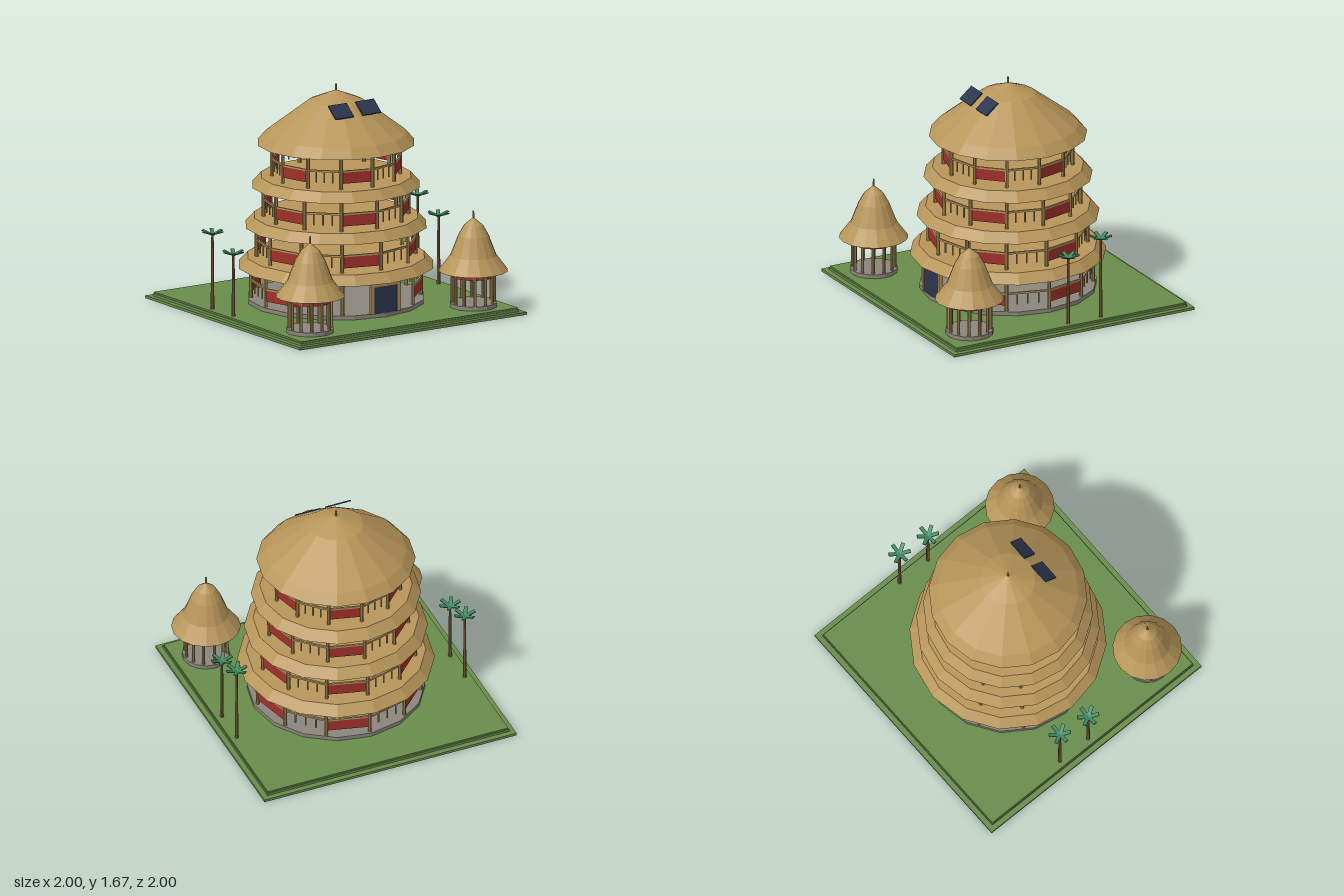
import * as THREE from 'three';

const mat = (name, color) => {
  const m = new THREE.MeshStandardMaterial({ color });
  m.name = name;
  return m;
};

// Split all faces so that every facet gets its own flat normal
const flat = (g) => {
  const f = g.index ? g.toNonIndexed() : g;
  f.computeVertexNormals();
  return f;
};

export function createModel() {
  const thatch = mat('thatch', 0xb8965a);
  const bamboo = mat('bamboo', 0xb0915a);
  const red = mat('red panel', 0xa0302a);
  const grass = mat('grass', 0x688c4b);
  const stone = mat('stone', 0x8a867c);
  const navy = mat('navy', 0x2b364f);
  const bark = mat('bark', 0x8a6a45);
  const frond = mat('palm green', 0x3f8a62);

  const model = new THREE.Group();
  model.name = 'roundTower';

  const add = (parent, name, geo, material, x = 0, y = 0, z = 0) => {
    const m = new THREE.Mesh(geo, material);
    m.name = name;
    m.position.set(x, y, z);
    parent.add(m);
    return m;
  };
  const group = (parent, name) => {
    const g = new THREE.Group();
    g.name = name;
    parent.add(g);
    return g;
  };
  const box = (p, name, w, h, d, material, x, y, z) =>
    add(p, name, new THREE.BoxGeometry(w, h, d), material, x, y, z);
  // Upright cylinder from y0 to y1
  const column = (p, name, rTop, rBottom, y0, y1, sides, material, x = 0, z = 0) =>
    add(p, name, flat(new THREE.CylinderGeometry(rTop, rBottom, y1 - y0, sides)),
      material, x, (y0 + y1) / 2, z);
  const lathe = (p, name, points, sides, material) =>
    add(p, name, flat(new THREE.LatheGeometry(points.map(([r, y]) => new THREE.Vector2(r, y)), sides)), material);

  // Stepped lawn
  box(model, 'groundBase', 2, 0.02, 2, grass, 0, 0.01, 0);
  box(model, 'groundStep', 1.92, 0.018, 1.92, grass, 0, 0.029, 0);
  box(model, 'lawn', 1.908, 0.012, 1.908, grass, 0, 0.044, 0);

  // Tower
  const tower = group(model, 'tower');
  column(tower, 'plinth', 0.65, 0.65, 0.05, 0.08, 16, stone);

  const BAYS = 12;
  const storeys = [
    { r: 0.62, y0: 0.08, y1: 0.33, panel: 0.163 },
    { r: 0.58, y0: 0.38, y1: 0.63, panel: 0.463 },
    { r: 0.53, y0: 0.68, y1: 0.93, panel: 0.765 },
    { r: 0.47, y0: 0.985, y1: 1.235, panel: 1.07 },
  ];
  storeys.forEach(({ r, y0, y1, panel }, level) => {
    const storey = group(tower, 'storey' + (level + 1));
    const chord = 2 * r * Math.sin(Math.PI / BAYS);
    const apothem = r * Math.cos(Math.PI / BAYS);
    for (let k = 0; k < BAYS; k++) {
      const entrance = level === 0 && (k === 0 || k === BAYS - 1);
      const a = (k * 2 * Math.PI) / BAYS;
      if (level > 0 || k > 0) {
        column(storey, 'post', 0.014, 0.014, y0, y1, 8, bamboo, r * Math.sin(a), r * Math.cos(a));
      }
      if (entrance) continue;
      // Each bay has a hand rail with a red panel or three balusters below it
      const bay = group(storey, 'bay');
      bay.rotation.y = a + Math.PI / BAYS;
      box(bay, 'handRail', chord, 0.014, 0.014, bamboo, 0, panel + 0.048, apothem);
      if (k % 2) {
        box(bay, 'redPanel', chord - 0.01, 0.082, 0.012, red, 0, panel, apothem);
      } else {
        for (const i of [-1, 0, 1]) {
          column(bay, 'baluster', 0.006, 0.006, panel - 0.04, panel + 0.045, 6, bamboo, i * chord / 4, apothem);
        }
      }
    }
  });

  // Sloped thatch skirts between the storeys
  for (const [r, y] of [[0.72, 0.315], [0.67, 0.615], [0.62, 0.915]]) {
    column(tower, 'thatchSkirt', r - 0.065, r, y, y + 0.072, 16, thatch);
  }
  lathe(tower, 'mainRoof', [[0, 1.23], [0.58, 1.23], [0.515, 1.305], [0.2, 1.545], [0, 1.625]], 16, thatch);
  column(tower, 'roofFinial', 0.007, 0.009, 1.61, 1.667, 8, bamboo);

  // Entrance
  const entrance = group(model, 'entrance');
  box(entrance, 'door', 0.208, 0.205, 0.02, navy, 0, 0.18, 0.63);
  for (const s of [-1, 1]) {
    box(entrance, 'doorPost', 0.028, 0.24, 0.03, bamboo, s * 0.117, 0.2, 0.63);
  }
  box(entrance, 'lintel', 0.262, 0.04, 0.03, bamboo, 0, 0.3, 0.63);

  // Solar panels on the front slope
  for (const s of [-1, 1]) {
    const p = box(model, 'solarPanel', 0.162, 0.01, 0.128, navy, s * 0.12, 1.522, 0.24);
    p.rotation.x = 0.7;
  }

  // Pair of small huts at the front corners
  for (const s of [-1, 1]) {
    const hut = group(model, s > 0 ? 'leftHut' : 'rightHut');
    hut.position.set(s * 0.72, 0, 0.72);
    column(hut, 'hutPlinth', 0.175, 0.175, 0.05, 0.08, 16, stone);
    const n = 12, r = 0.155;
    for (let k = 0; k < n; k++) {
      const a = (k * 2 * Math.PI) / n;
      column(hut, 'hutPost', 0.012, 0.012, 0.08, 0.325, 8, bamboo, r * Math.sin(a), r * Math.cos(a));
      const b = a + Math.PI / n, ap = r * Math.cos(Math.PI / n);
      const panel = box(hut, 'hutPanel', 0.062, 0.045, 0.008, red, ap * Math.sin(b), 0.295, ap * Math.cos(b));
      panel.rotation.y = b;
    }
    lathe(hut, 'hutRoof',
      [[0, 0.317], [0.254, 0.317], [0.17, 0.43], [0.112, 0.58], [0.07, 0.655], [0, 0.715]], 16, thatch);
    column(hut, 'hutFinial', 0.006, 0.008, 0.7, 0.762, 8, bamboo);
  }

  // Palms along both sides
  for (const [x, z, h] of [[0.905, -0.27, 0.655], [0.905, 0, 0.555], [-0.905, -0.27, 0.605], [-0.905, 0, 0.505]]) {
    const palm = group(model, 'palm');
    palm.position.set(x, 0, z);
    column(palm, 'trunk', 0.009, 0.014, 0.05, h, 8, bark);
    for (let k = 0; k < 6; k++) {
      const leaf = new THREE.BoxGeometry(0.085, 0.008, 0.028);
      leaf.translate(0.0425, 0, 0);
      leaf.rotateZ(0.33);
      leaf.rotateY((k * Math.PI) / 3);
      add(palm, 'palmLeaf', leaf, frond, 0, h, 0);
    }
  }
  return model;
}
